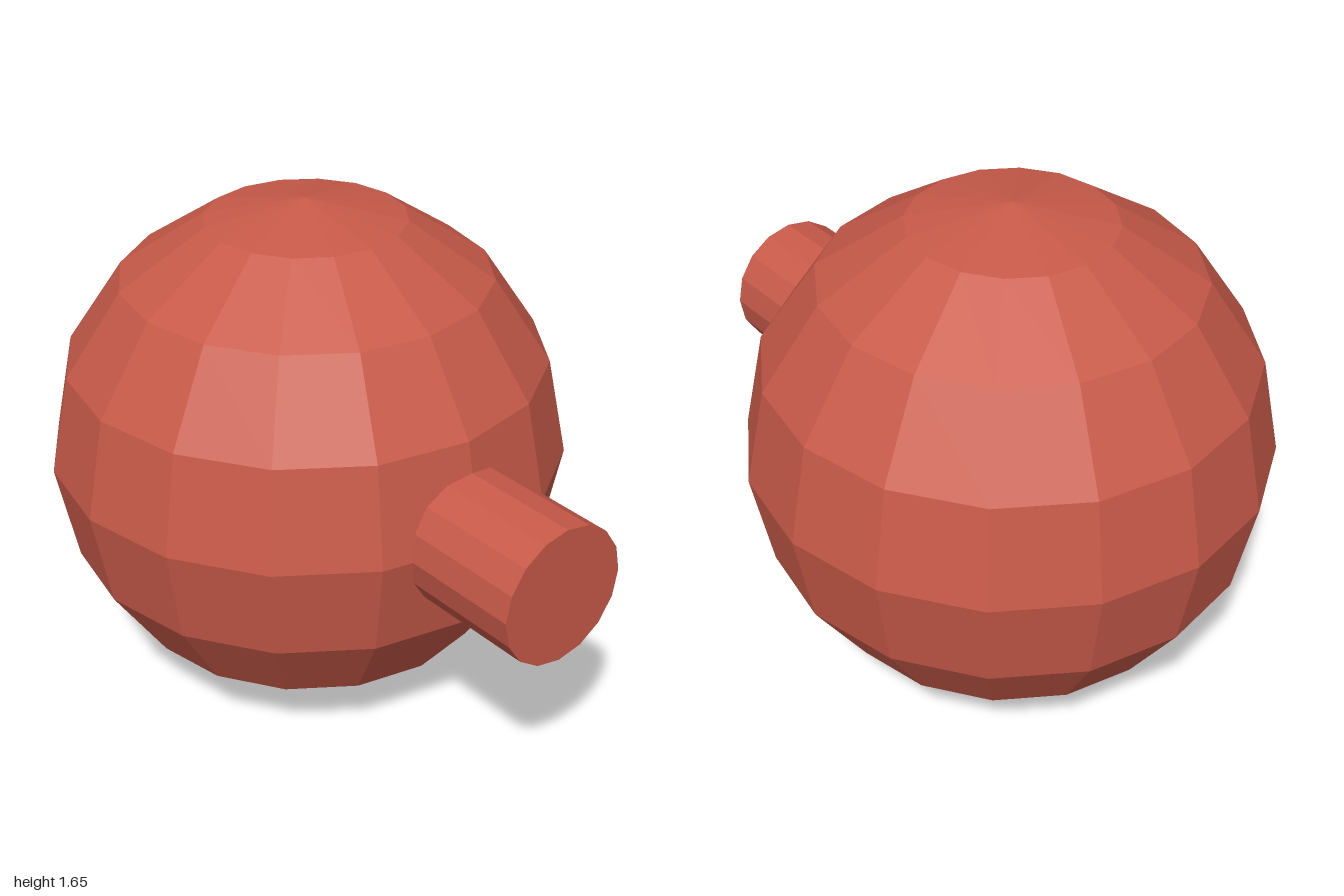
import * as THREE from 'three';

const R = 0.826; // ball radius
const CX = R - 1; // ball centre in x

export function createModel() {
  const group = new THREE.Group();
  const material = new THREE.MeshStandardMaterial({ color: 0xc85a49, flatShading: true });

  // Faceted ball
  const ball = new THREE.Mesh(new THREE.SphereGeometry(R, 16, 8), material);
  ball.name = 'ball';
  ball.position.set(CX, R, 0);
  group.add(ball);

  // Round peg on the left side, its inner end sunk into the ball
  const inner = 0.5, outer = 1;
  const peg = new THREE.Mesh(new THREE.CylinderGeometry(0.22, 0.22, outer - inner, 16), material);
  peg.name = 'peg';
  peg.rotation.z = -Math.PI / 2;
  peg.position.set((inner + outer) / 2, R, 0);
  group.add(peg);

  return group;
}
